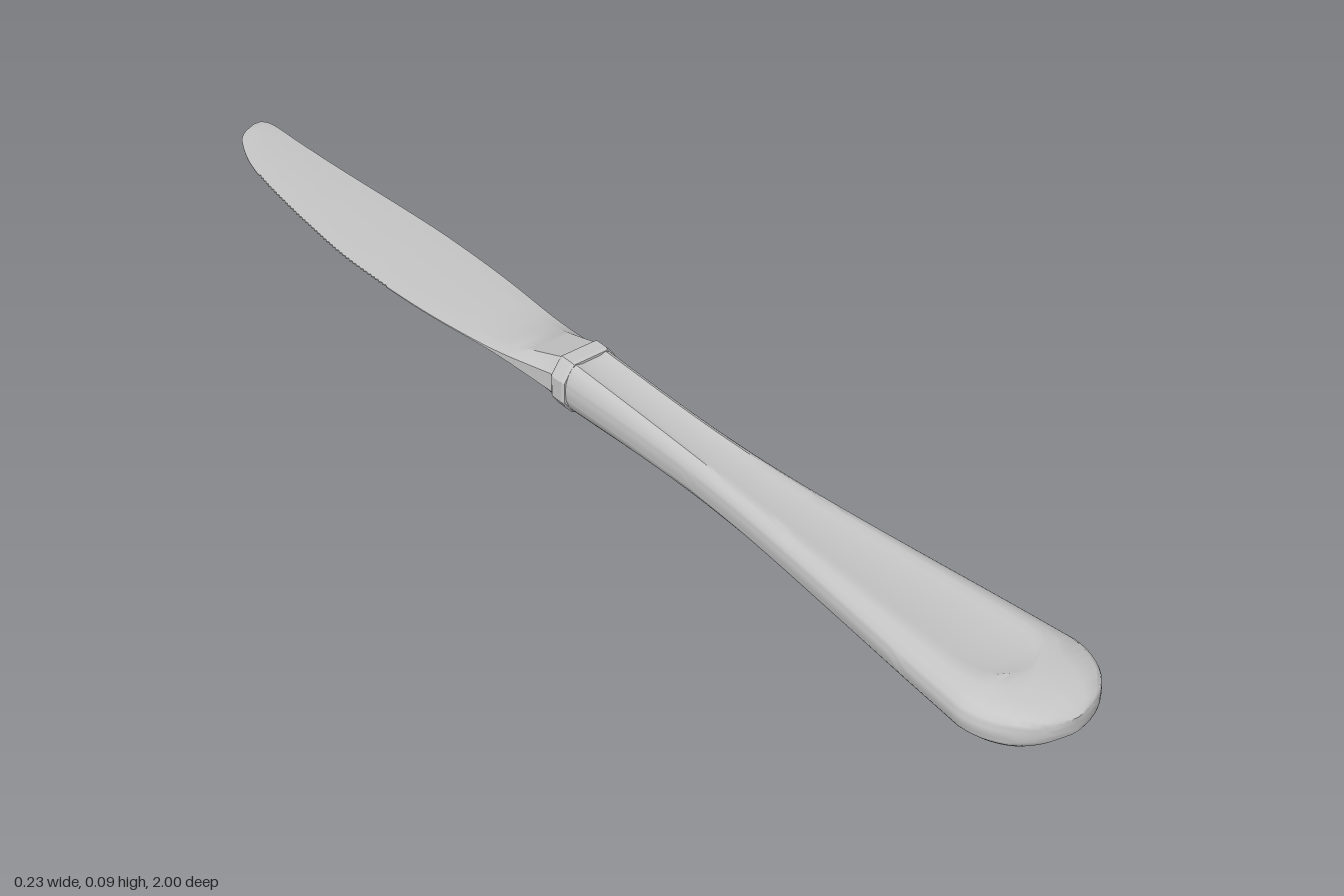
import * as THREE from 'three';
import { toCreasedNormals } from 'three/addons/utils/BufferGeometryUtils.js';

const MID = 0.046; // height of the knife's middle plane

// Smooth curve through [z, value] pairs with rising z
function at(table, z) {
  const n = table.length - 1;
  if (z <= table[0][0]) return table[0][1];
  if (z >= table[n][0]) return table[n][1];
  let i = 0;
  while (z > table[i + 1][0]) i++;
  const slope = (k) => {
    const a = table[Math.max(k - 1, 0)], b = table[Math.min(k + 1, n)];
    return (b[1] - a[1]) / (b[0] - a[0]);
  };
  const [z0, v0] = table[i], [z1, v1] = table[i + 1];
  const d = z1 - z0, t = (z - z0) / d, t2 = t * t, t3 = t2 * t;
  return (2 * t3 - 3 * t2 + 1) * v0 + (t3 - 2 * t2 + t) * d * slope(i)
    + (3 * t2 - 2 * t3) * v1 + (t3 - t2) * d * slope(i + 1);
}

// Mirror an upper half section (right to left) to a closed ring
function closeRing(upper) {
  return [...upper, ...upper.slice().reverse().map(([x, y]) => [x, -y])];
}

// Skin rings ordered from high z to low z, with end caps
function loft(stations, section, crease) {
  const pos = [], idx = [];
  let n = 0;
  stations.forEach((z) => {
    const ring = section(z);
    n = ring.length;
    ring.forEach(([x, y]) => pos.push(x, y + MID, z));
  });
  for (let i = 0; i < stations.length - 1; i++) {
    for (let j = 0; j < n; j++) {
      const a = i * n + j, b = i * n + (j + 1) % n;
      idx.push(a, a + n, b, a + n, b + n, b);
    }
  }
  const last = (stations.length - 1) * n;
  // Caps are strips between the mirrored upper and lower points
  for (let j = 0; j < n / 2 - 1; j++) {
    const k = n - 1 - j;
    idx.push(j, j + 1, k, j + 1, k - 1, k);
    idx.push(last + j, last + k, last + j + 1, last + j + 1, last + k, last + k - 1);
  }
  const g = new THREE.BufferGeometry();
  g.setAttribute('position', new THREE.Float32BufferAttribute(pos, 3));
  g.setIndex(idx);
  return toCreasedNormals(g, crease);
}

const range = (from, to, n) => Array.from({ length: n + 1 }, (_, i) => from + (to - from) * i / n);

// Handle: half width, half height and width of the sunken panel
const HANDLE_W = [[-0.05, 0.05], [0.1, 0.048], [0.25, 0.05], [0.4, 0.06], [0.6, 0.082], [0.75, 0.1], [0.885, 0.115]];
const HANDLE_H = [[-0.05, 0.043], [0, 0.041], [0.2, 0.034], [0.4, 0.031], [0.6, 0.032], [0.8, 0.036], [0.9, 0.037], [0.95, 0.032], [0.985, 0.022], [1, 0.013]];
const PANEL_W = [[-0.05, 0.018], [0.2, 0.02], [0.4, 0.028], [0.6, 0.04], [0.84, 0.054]];

function handleSection(z) {
  const end = Math.max(0, (z - 0.885) / 0.115);
  const w = Math.max(0.002, at(HANDLE_W, z) * Math.sqrt(Math.max(0, 1 - end * end)));
  const h = at(HANDLE_H, z), e = Math.min(0.018, h * 0.6);
  const round = Math.sqrt(Math.max(0, 1 - Math.max(0, (z - 0.84) / 0.06) ** 2));
  const p = Math.min(at(PANEL_W, z) * round, w * 0.5);
  const q = Math.min(p + 0.011, w * 0.65);
  const floor = z < 0.901 ? h - 0.003 : h;
  const half = [[w, e * 0.35], [w * 0.99, e * 0.7], [w * 0.96, e],
    [w * 0.87, e + (h - e) * 0.5], [(w * 0.87 + q) / 2, e + (h - e) * 0.86], [q, h], [p, floor]];
  return closeRing([...half, ...half.slice().reverse().map(([x, y]) => [-x, y])]);
}

// Collar: octagonal band with softened edges
function collarSection(z) {
  const s = Math.abs(z + 0.054) > 0.012 ? 0.95 : 1;
  const half = [[0.055, 0.018], [0.042, 0.037], [0.034, 0.046]].map(([x, y]) => [x * s, y * s]);
  return closeRing([...half, ...half.slice().reverse().map(([x, y]) => [-x, y])]);
}

// Blade: cutting edge on -x, back on +x, half thickness
const EDGE = [[-1, 0.03], [-0.99, 0.008], [-0.97, -0.012], [-0.9, -0.043], [-0.8, -0.064], [-0.6, -0.087], [-0.5, -0.09], [-0.35, -0.084], [-0.2, -0.067], [-0.07, -0.05]];
const BACK = [[-1, 0.05], [-0.985, 0.058], [-0.9, 0.06], [-0.8, 0.063], [-0.6, 0.073], [-0.5, 0.076], [-0.35, 0.073], [-0.2, 0.062], [-0.07, 0.05]];
const THICK = [[-1, 0.002], [-0.3, 0.003], [-0.22, 0.005], [-0.17, 0.013], [-0.12, 0.027], [-0.07, 0.042]];

function bladeSection(z, i) {
  const toothed = z < -0.45 && z > -0.86;
  const a = at(EDGE, z) + (toothed && i % 2 ? 0.003 : 0);
  const b = at(BACK, z), t = at(THICK, z);
  const x = (f) => a + (b - a) * f;
  return closeRing([[b, t * 0.4], [x(0.88), t * 0.8], [x(0.82), t], [x(0.18), t], [x(0.12), t * 0.8], [a, t * 0.4]]);
}

export function createModel() {
  const knife = new THREE.Group();
  knife.name = 'tableKnife';
  const steel = new THREE.MeshStandardMaterial({ color: 0xc6c6c6 });
  steel.name = 'steel';
  const add = (name, geometry) => {
    const mesh = new THREE.Mesh(geometry, steel);
    mesh.name = name;
    knife.add(mesh);
  };

  // Closer stations toward the rounded butt
  const handleZ = [...range(0, 1, 14).map((t) => 0.885 + 0.115 * Math.cos(t * Math.PI / 2)), ...range(0.875, -0.045, 46)];
  add('handle', loft(handleZ, handleSection, 0.6));
  add('collar', loft([-0.038, -0.043, -0.065, -0.07], collarSection, 0.4));

  // Blade with its tapered bolster and fine teeth
  const bladeZ = [...range(-0.066, -0.97, 180), -0.98, -0.988, -0.994, -0.998, -1];
  add('blade', loft(bladeZ, (z) => bladeSection(z, bladeZ.indexOf(z)), 0.5));
  return knife;
}
